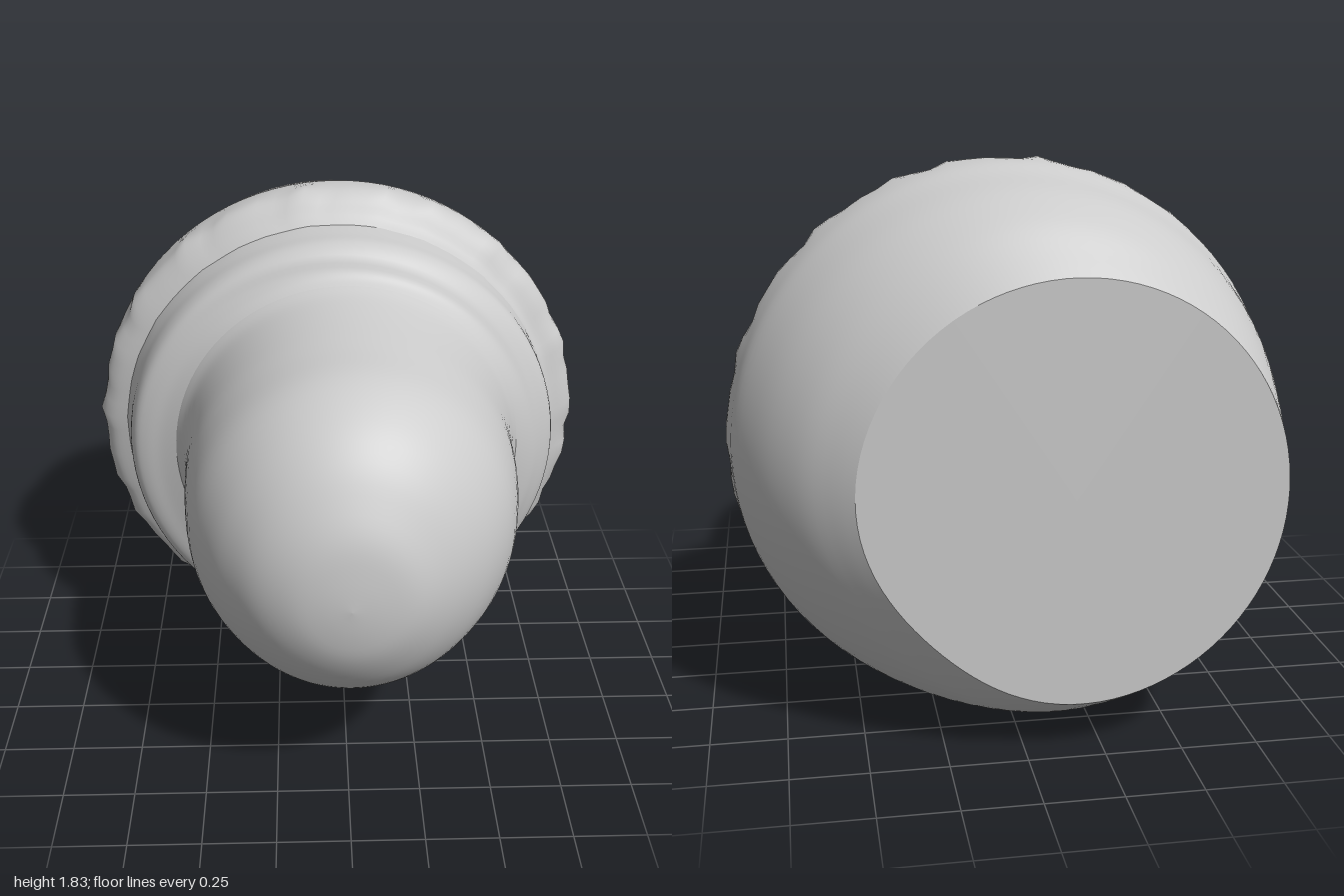
import * as THREE from 'three';

const SIDES = 96;

// Cross-sections, front to back: [z, xMin, xMax, yMin, yMax]
const noseSections = [
  [1.0, 0, 0, 0.92, 0.92],
  [0.992, -0.09, 0.1, 0.82, 1.02],
  [0.97, -0.19, 0.2, 0.72, 1.14],
  [0.92, -0.29, 0.29, 0.62, 1.25],
  [0.85, -0.37, 0.38, 0.53, 1.36],
  [0.75, -0.45, 0.47, 0.45, 1.45],
  [0.6, -0.52, 0.55, 0.39, 1.52],
  [0.4, -0.55, 0.59, 0.38, 1.54],
  [0.2, -0.56, 0.6, 0.37, 1.56],
  [0.06, -0.58, 0.62, 0.35, 1.58],
  [0.0, -0.61, 0.64, 0.335, 1.6],
];
const collarSections = [
  noseSections.at(-1),
  [-0.025, -0.67, 0.68, 0.25, 1.615],
  [-0.045, -0.73, 0.71, 0.19, 1.64],
  [-0.07, -0.77, 0.74, 0.16, 1.69],
  [-0.12, -0.79, 0.79, 0.13, 1.72],
  [-0.2, -0.8, 0.795, 0.125, 1.725],
  [-0.28, -0.82, 0.8, 0.11, 1.73],
];
const bodySections = [
  collarSections.at(-1),
  [-0.31, -0.88, 0.82, 0.05, 1.76],
  [-0.35, -0.915, 0.88, 0.02, 1.81],
  [-0.4, -0.92, 0.91, 0.005, 1.835],
  [-0.5, -0.92, 0.9, 0.01, 1.83],
  [-0.6, -0.9, 0.88, 0.03, 1.8],
  [-0.75, -0.87, 0.8, 0.05, 1.76],
  [-0.87, -0.84, 0.7, 0.09, 1.69],
  [-0.95, -0.82, 0.6, 0.14, 1.6],
  [-1.0, -0.81, 0.53, 0.18, 1.54],
];
const rear = bodySections.at(-1);
const backSections = [rear, [-1, -0.14, -0.14, 0.86, 0.86]];

const material = new THREE.MeshStandardMaterial({ color: 0xcccccc, roughness: 0.8 });

// Smooth interpolation between neighbouring sections
function sectionAt(sections, i, t) {
  const at = (k) => sections[THREE.MathUtils.clamp(k, 0, sections.length - 1)];
  return sections[i].map((_, n) => {
    const [p0, p1, p2, p3] = [at(i - 1)[n], at(i)[n], at(i + 1)[n], at(i + 2)[n]];
    const m1 = (p2 - p0) / 2, m2 = (p3 - p1) / 2;
    return p1 + m1 * t + (3 * (p2 - p1) - 2 * m1 - m2) * t * t
      + (2 * (p1 - p2) + m1 + m2) * t * t * t;
  });
}

// One point of a ring, with the hand-formed rim ripple and flattened rear corner
function ringPoint([z, x0, x1, y0, y1], angle) {
  const c = Math.cos(angle), s = Math.sin(angle);
  const rim = Math.exp(-(((z + 0.37) / 0.07) ** 2));
  const ripple = rim * (0.007 * Math.sin(23 * angle) + 0.006 * Math.sin(37 * angle + 1));
  const rearness = THREE.MathUtils.smoothstep(-z, 0.6, 1);
  const corner = Math.max(0, Math.cos(angle + Math.PI / 4)) ** 6;
  const k = 1 + ripple - 0.07 * rearness * corner;
  return [(x0 + x1) / 2 + ((x1 - x0) / 2) * c * k, (y0 + y1) / 2 + ((y1 - y0) / 2) * s * k, z];
}

// Skin a list of sections
function loft(name, sections, steps) {
  const rings = [];
  for (let i = 0; i < sections.length - 1; i++) {
    for (let k = 0; k < steps; k++) rings.push(sectionAt(sections, i, k / steps));
  }
  rings.push(sections.at(-1));

  const positions = [], index = [];
  rings.forEach((ring, i) => {
    for (let j = 0; j < SIDES; j++) {
      positions.push(...ringPoint(ring, (j / SIDES) * Math.PI * 2));
      if (i === rings.length - 1) continue;
      const a = i * SIDES + j, b = i * SIDES + ((j + 1) % SIDES);
      index.push(a, a + SIDES, b, b, a + SIDES, b + SIDES);
    }
  });
  const geometry = new THREE.BufferGeometry();
  geometry.setAttribute('position', new THREE.Float32BufferAttribute(positions, 3));
  geometry.setIndex(index);
  geometry.computeVertexNormals();
  const mesh = new THREE.Mesh(geometry, material);
  mesh.name = name;
  return mesh;
}

export function createModel() {
  const group = new THREE.Group();
  group.name = 'roundedKnob';
  group.add(
    loft('domedNose', noseSections, 4),
    loft('collar', collarSections, 4),
    loft('body', bodySections, 4),
    loft('flatBack', backSections, 1),
  );
  return group;
}
